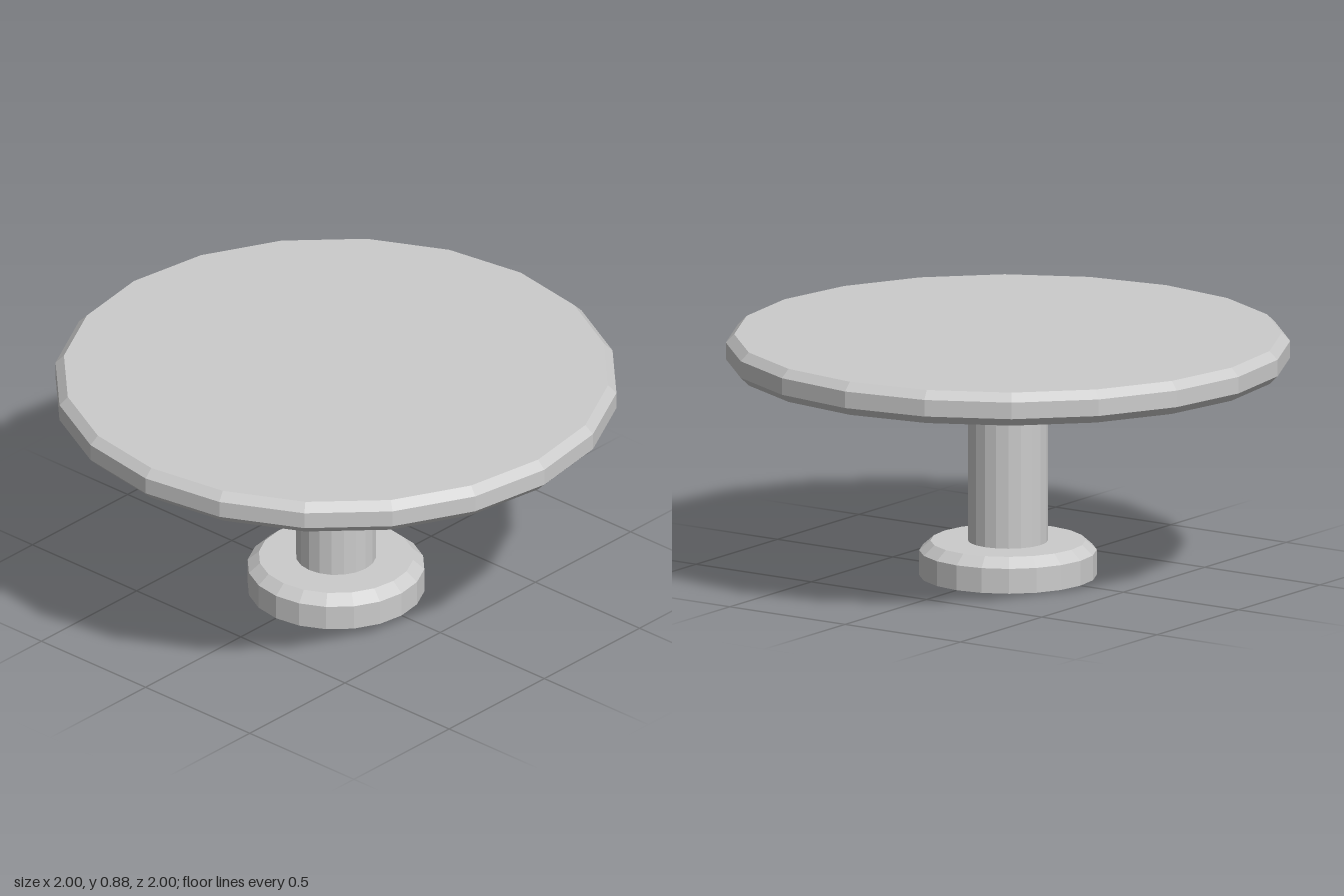
import * as THREE from 'three';

const SIDES = 20;

export function createModel() {
  const group = new THREE.Group();
  const material = new THREE.MeshStandardMaterial({ color: 0xcccccc, flatShading: true });

  // Turned part from a [radius, height] profile, listed bottom to top
  function turned(name, profile) {
    const points = profile.map(([r, y]) => new THREE.Vector2(r, y));
    const mesh = new THREE.Mesh(new THREE.LatheGeometry(points, SIDES), material);
    mesh.name = name;
    group.add(mesh);
  }

  // Round foot with a bevelled top edge
  turned('base', [[0, 0], [0.315, 0], [0.315, 0.09], [0.275, 0.125], [0, 0.125]]);

  // Central post, open where it meets the base and collar
  turned('column', [[0.142, 0.125], [0.142, 0.63]]);

  // Stepped collar flaring out under the top
  turned('collar', [[0, 0.63], [0.345, 0.63], [0.385, 0.665], [0.385, 0.72], [0.42, 0.755]]);

  // Round top, bevelled on both edges
  turned('tableTop', [[0, 0.755], [0.97, 0.755], [1, 0.785], [1, 0.845], [0.97, 0.875], [0, 0.875]]);

  return group;
}
